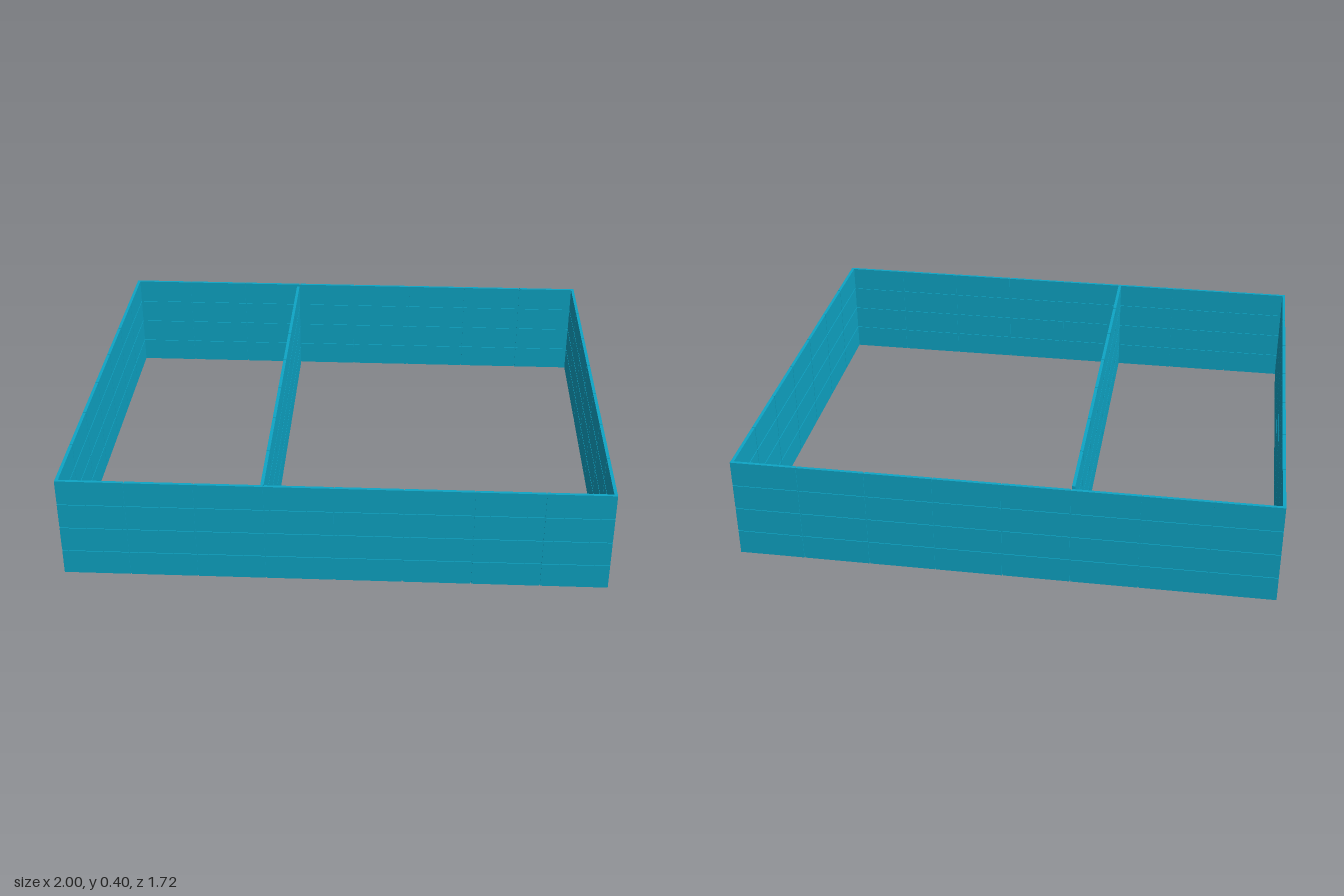
import * as THREE from 'three';
import { mergeGeometries } from 'three/addons/utils/BufferGeometryUtils.js';

const HEIGHT = 0.398, THICK = 0.012, JOINT = 0.004, ROWS = 4;

// A thin wall along x: a slim core covered by a grid of panels with narrow joints.
function wallGeometry(length, columns) {
  const core = new THREE.BoxGeometry(length - JOINT, HEIGHT - JOINT, THICK * 0.5);
  const parts = [core.translate(0, HEIGHT / 2, 0)];
  const w = (length + JOINT) / columns, h = (HEIGHT + JOINT) / ROWS;
  for (let c = 0; c < columns; c++) {
    for (let r = 0; r < ROWS; r++) {
      const panel = new THREE.BoxGeometry(w - JOINT, h - JOINT, THICK);
      parts.push(panel.translate(-length / 2 + c * w + (w - JOINT) / 2, r * h + (h - JOINT) / 2, 0));
    }
  }
  return mergeGeometries(parts);
}

export function createModel() {
  const group = new THREE.Group();
  group.name = 'panelWalls';
  const material = new THREE.MeshStandardMaterial({ color: 0x0ea5c6 });

  const addWall = (name, length, columns, x, z, turned) => {
    const wall = new THREE.Mesh(wallGeometry(length, columns), material);
    wall.name = name;
    wall.position.set(x, 0, z);
    if (turned) wall.rotation.y = Math.PI / 2;
    group.add(wall);
  };

  // Outer walls
  addWall('frontWall', 2, 8, 0, 0.854, false);
  addWall('backWall', 2, 8, 0, -0.854, false);
  addWall('leftWall', 1.696, 7, 0.994, 0, true);
  addWall('rightWall', 1.696, 7, -0.994, 0, true);

  // Inner divider, stopping just short of the back wall
  addWall('dividerWall', 1.678, 7, -0.256, 0.009, true);

  return group;
}
